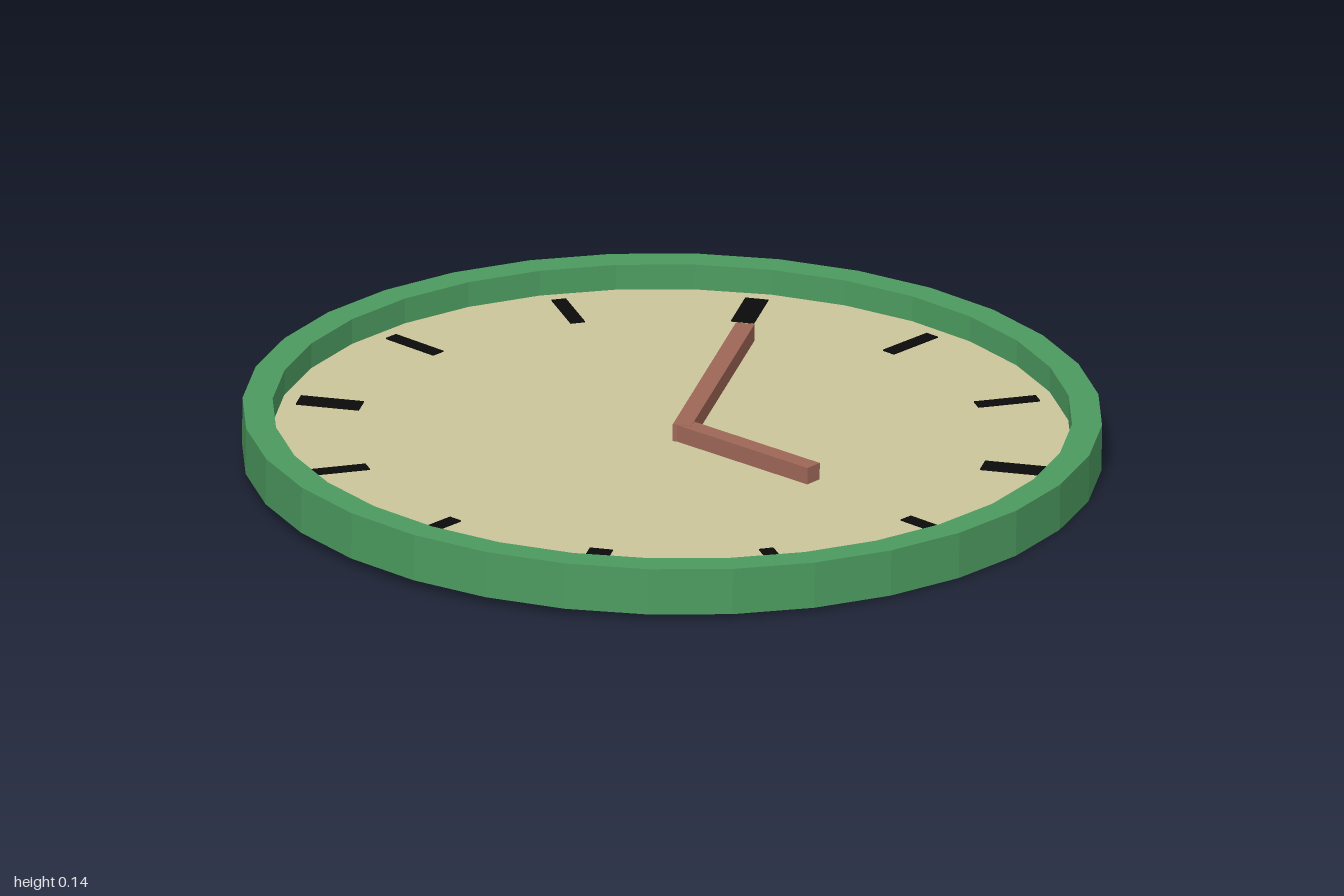
import * as THREE from 'three';

const HEIGHT = 0.113, FACE_Y = 0.051, SIDES = 32, TURN = -0.028;

const paint = (color) => new THREE.MeshStandardMaterial({ color, flatShading: true });

function add(parent, name, geometry, material) {
  const mesh = new THREE.Mesh(geometry, material);
  mesh.name = name;
  parent.add(mesh);
  return mesh;
}

// Bar lying flat from (x0, z0) to (x1, z1), between heights y0 and y1
function addBar(parent, name, [x0, z0], [x1, z1], width, y0, y1, material) {
  const bar = add(parent, name,
    new THREE.BoxGeometry(Math.hypot(x1 - x0, z1 - z0), y1 - y0, width), material);
  bar.position.set((x0 + x1) / 2, (y0 + y1) / 2, (z0 + z1) / 2);
  bar.rotation.y = -Math.atan2(z1 - z0, x1 - x0);
  return bar;
}

export function createModel() {
  const model = new THREE.Group();
  model.name = 'wallClock';
  const clock = new THREE.Group();
  clock.name = 'clock';
  model.add(clock);

  // Rim: square-section faceted ring
  const profile = [[1, 0], [1, HEIGHT], [0.93, HEIGHT], [0.93, 0], [1, 0]]
    .map(([r, y]) => new THREE.Vector2(r, y));
  add(clock, 'rim', new THREE.LatheGeometry(profile, SIDES, TURN), paint(0x4c9a5f));

  // Dial: thin disc halfway up the rim
  const dialPaint = paint(0xcbc69b);
  dialPaint.side = THREE.DoubleSide;
  const dial = add(clock, 'dial', new THREE.CircleGeometry(0.935, SIDES, TURN), dialPaint);
  dial.rotation.x = -Math.PI / 2;
  dial.position.y = FACE_Y;

  // Hour marks: plain bars, heavier at the quarters
  const black = paint(0x0a0a0a);
  for (let hour = 0; hour < 12; hour++) {
    const a = hour * Math.PI / 6, sx = Math.sin(a), sz = -Math.cos(a);
    addBar(clock, 'hourMark', [0.74 * sx, 0.74 * sz], [0.89 * sx, 0.89 * sz],
      hour % 3 ? 0.035 : 0.055, FACE_Y, FACE_Y + 0.003, black);
  }

  // Hands: square bars reaching just through the dial
  const red = paint(0x9e6657);
  const low = FACE_Y - 0.004, high = FACE_Y + 0.042;
  addBar(clock, 'minuteHand', [0.03, 0.03], [0.03, -0.635], 0.044, low, high, red);
  addBar(clock, 'hourHand', [0.02, 0.006], [0.382, 0.198], 0.044, low, high - 0.001, red);

  // Slight tilt, resting on its lowest edge
  clock.rotation.set(-0.004, 0, -0.0122);
  clock.position.y = 0.0128;
  return model;
}
